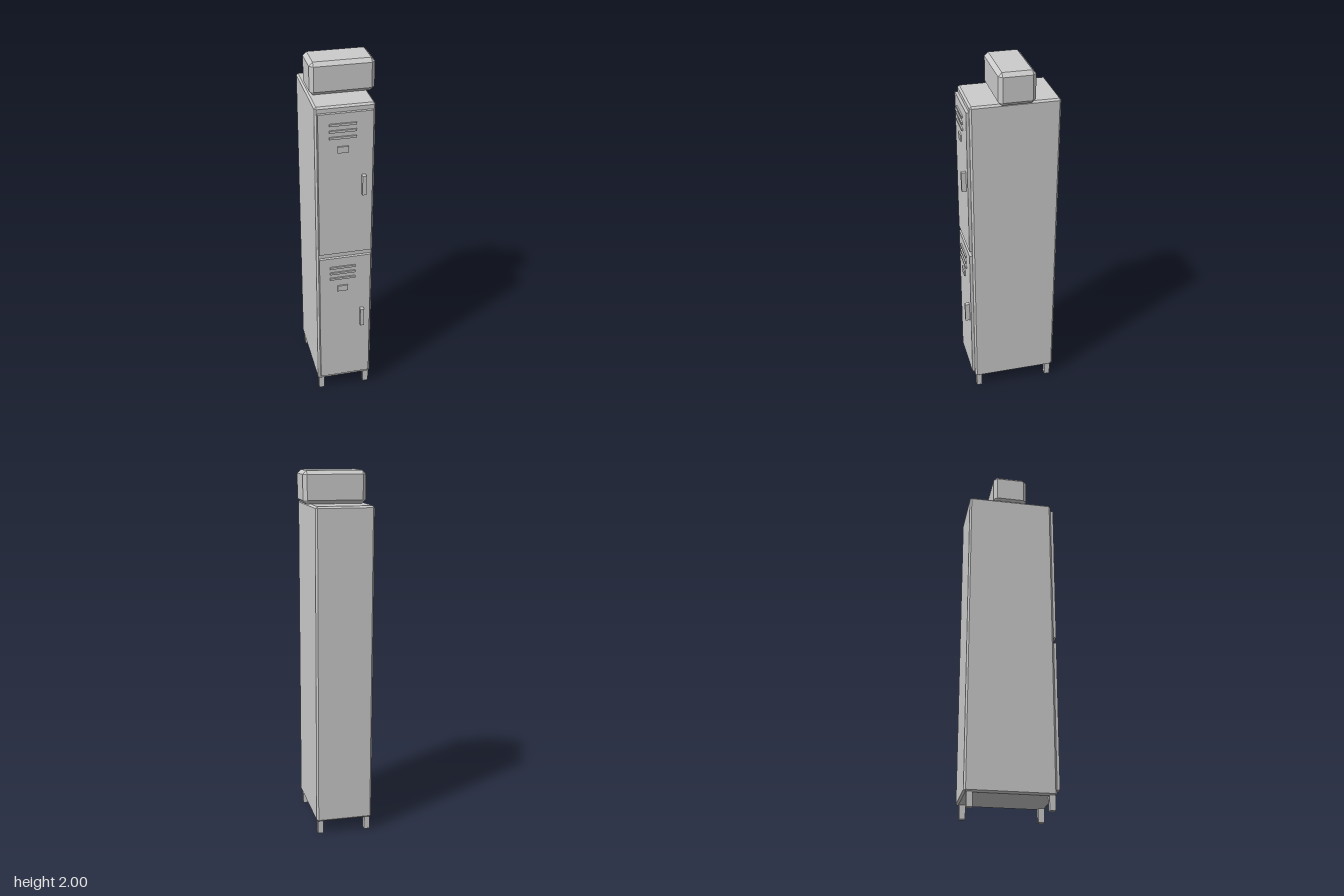
import * as THREE from 'three';
import { ConvexGeometry } from 'three/addons/geometries/ConvexGeometry.js';

const material = new THREE.MeshStandardMaterial({ color: 0xcccccc, flatShading: true });

function place(geometry, name, parent, x, y, z) {
  const mesh = new THREE.Mesh(geometry, material);
  mesh.name = name;
  mesh.position.set(x, y, z);
  parent.add(mesh);
}

// Plain box given by its limits on each axis
function box(name, parent, [x0, x1], [y0, y1], [z0, z1]) {
  place(new THREE.BoxGeometry(x1 - x0, y1 - y0, z1 - z0), name, parent,
    (x0 + x1) / 2, (y0 + y1) / 2, (z0 + z1) / 2);
}

// Box with every edge cut by a flat chamfer c
function chamferBox(name, parent, [x0, x1], [y0, y1], [z0, z1], c) {
  const hx = (x1 - x0) / 2, hy = (y1 - y0) / 2, hz = (z1 - z0) / 2;
  const points = [];
  for (const sx of [-1, 1]) for (const sy of [-1, 1]) for (const sz of [-1, 1]) {
    points.push(
      new THREE.Vector3(sx * hx, sy * (hy - c), sz * (hz - c)),
      new THREE.Vector3(sx * (hx - c), sy * hy, sz * (hz - c)),
      new THREE.Vector3(sx * (hx - c), sy * (hy - c), sz * hz));
  }
  place(new ConvexGeometry(points), name, parent, x0 + hx, y0 + hy, z0 + hz);
}

export function createModel() {
  const locker = new THREE.Group();
  locker.name = 'locker';

  // Cabinet and the box resting on top
  chamferBox('cabinet', locker, [-0.176, 0.14], [0.075, 1.825], [-0.262, 0.219], 0.01);
  chamferBox('topBox', locker, [-0.168, 0.175], [1.825, 2], [-0.12, 0.076], 0.02);

  // Four short legs
  for (const x of [-0.153, 0.115]) for (const z of [-0.231, 0.194]) {
    box('leg', locker, [x - 0.016, x + 0.016], [0, 0.08], [z - 0.016, z + 0.016]);
  }

  // Two identical doors, with vents, name plate and handle
  for (const [name, y] of [['lowerDoor', 0.107], ['upperDoor', 0.965]]) {
    const door = new THREE.Group();
    door.name = name;
    door.position.y = y;
    locker.add(door);
    box('doorPanel', door, [-0.163, 0.125], [0, 0.827], [0.215, 0.235]);
    for (let i = 0; i < 3; i++) {
      const v = 0.695 + i * 0.036;
      box('vent', door, [-0.105, 0.037], [v - 0.006, v + 0.006], [0.23, 0.243]);
    }
    box('namePlate', door, [-0.063, -0.005], [0.61, 0.645], [0.23, 0.243]);
    box('handle', door, [0.066, 0.087], [0.36, 0.472], [0.23, 0.26]);
  }
  return locker;
}
